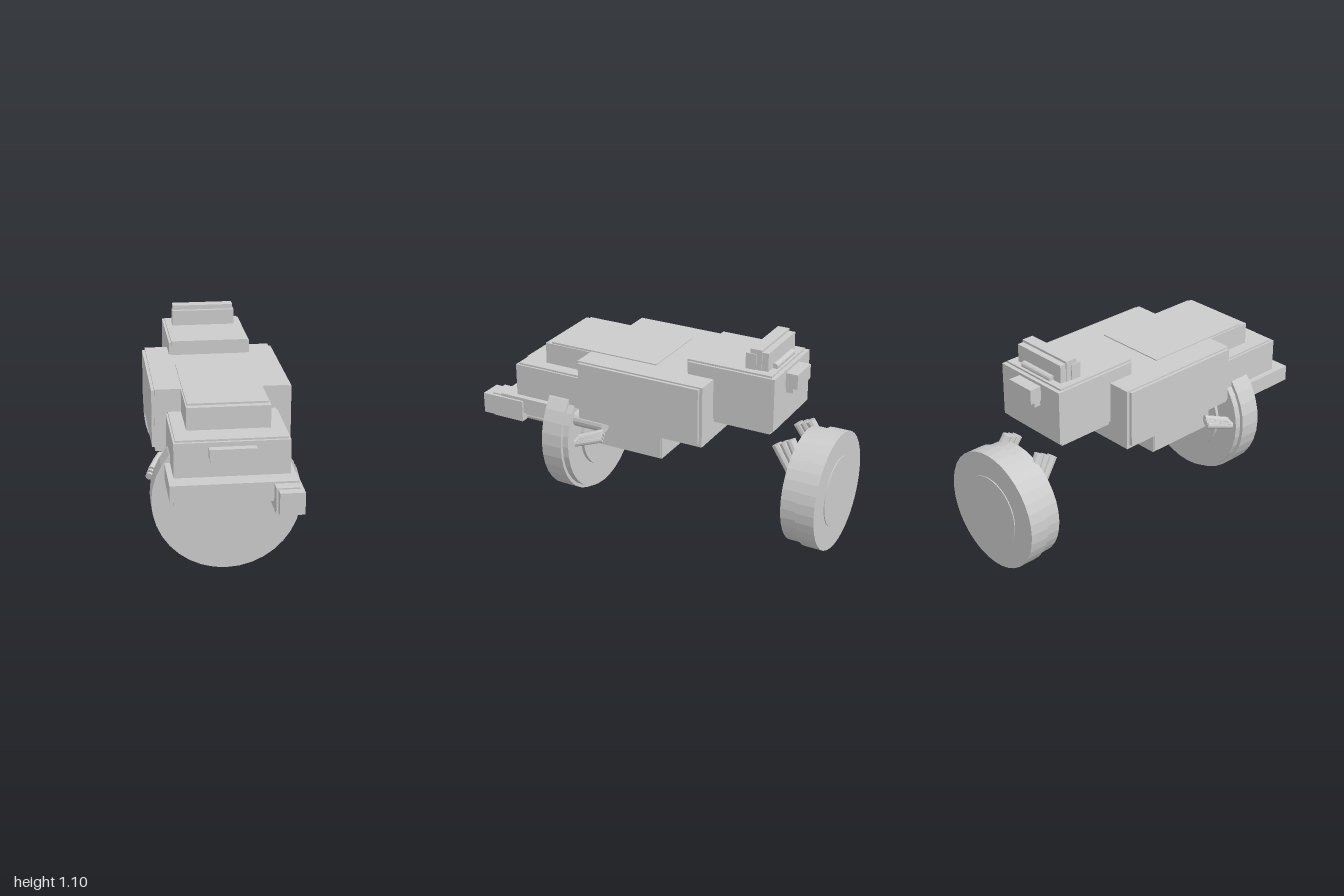
import * as THREE from 'three';

export function createModel() {
  const model = new THREE.Group();
  const mat = new THREE.MeshStandardMaterial({ color: 0xcccccc, flatShading: true });

  const add = (name, geometry, parent = model) => {
    const mesh = new THREE.Mesh(geometry, mat);
    mesh.name = name;
    parent.add(mesh);
    return mesh;
  };

  // Box given by its limits on each axis
  const box = (name, x0, x1, y0, y1, z0, z1) =>
    add(name, new THREE.BoxGeometry(x1 - x0, y1 - y0, z1 - z0))
      .position.set((x0 + x1) / 2, (y0 + y1) / 2, (z0 + z1) / 2);

  // Box symmetric about x = 0
  const mid = (name, w, y0, y1, z0, z1) => box(name, -w, w, y0, y1, z0, z1);

  // Cylinder between two points
  const rod = (name, a, b, r, sides = 12) => {
    const p = new THREE.Vector3(...a), q = new THREE.Vector3(...b);
    const d = q.clone().sub(p);
    const mesh = add(name, new THREE.CylinderGeometry(r, r, d.length(), sides));
    mesh.position.copy(p).add(q).multiplyScalar(0.5);
    mesh.quaternion.setFromUnitVectors(new THREE.Vector3(0, 1, 0), d.normalize());
  };

  // Wheel as a stack of discs along z: [radius, back, front]
  const wheel = (name, y, discs) => {
    const group = new THREE.Group();
    group.name = name;
    group.position.y = y;
    for (const [part, r, z0, z1] of discs) {
      const disc = add(part, new THREE.CylinderGeometry(r, r, z1 - z0, 36), group);
      disc.rotation.x = Math.PI / 2;
      disc.position.z = (z0 + z1) / 2;
    }
    model.add(group);
  };

  // Main body: core with wider side panels
  mid('bodyCore', 0.347, 0.577, 0.912, -0.372, 0.365);
  mid('bodySidePanels', 0.363, 0.597, 0.904, -0.355, 0.355);
  mid('bellyBox', 0.23, 0.385, 0.58, -0.075, 0.35);
  mid('bellyBoxTrim', 0.237, 0.395, 0.58, -0.07, 0.343);

  // Hood and nose
  mid('hood', 0.205, 0.78, 0.918, -0.03, 0.615);
  mid('hoodStep', 0.212, 0.78, 0.908, 0.1, 0.65);
  mid('nose', 0.29, 0.6, 0.78, 0.3, 0.8);
  mid('noseTop', 0.28, 0.6, 0.79, 0.3, 0.785);
  mid('noseBadge', 0.118, 0.702, 0.756, 0.79, 0.84);
  mid('noseBadgeLower', 0.109, 0.678, 0.71, 0.79, 0.825);
  mid('bumper', 0.318, 0.51, 0.597, 0.51, 0.89);
  mid('bumperLower', 0.297, 0.492, 0.59, 0.51, 0.88);

  // Rear cabin and its fittings
  mid('rearCabin', 0.222, 0.69, 0.98, -0.712, -0.225);
  mid('rearCabinCore', 0.209, 0.667, 0.99, -0.69, -0.215);
  mid('roofFinFront', 0.175, 0.98, 1.075, -0.585, -0.528);
  mid('roofFin', 0.17, 0.98, 1.1, -0.615, -0.55);
  mid('roofFinBack', 0.165, 0.98, 1.088, -0.65, -0.585);
  rod('roofBar', [-0.11, 1.0, -0.66], [0.11, 1.0, -0.66], 0.018);
  mid('tailBox', 0.083, 0.885, 0.965, -0.778, -0.7);
  mid('tailBoxLower', 0.075, 0.855, 0.89, -0.75, -0.7);

  // Side device with its barrel, on the left only
  box('sideBox', 0.205, 0.33, 0.465, 0.58, 0.745, 1.0);
  box('sideBoxCore', 0.195, 0.312, 0.45, 0.587, 0.76, 0.95);
  rod('sideBarrel', [0.265, 0.53, 0.25], [0.265, 0.53, 0.75], 0.045, 16);
  rod('sideBarrelLower', [0.265, 0.475, 0.55], [0.265, 0.475, 0.75], 0.02);

  // Pipe clusters, mirrored
  for (const s of [1, -1]) {
    for (let i = 0; i < 3; i++) {
      rod('sidePipe',
        [s * (0.382 - i * 0.007), 0.44 + i * 0.015, 0.375 - i * 0.01],
        [s * (0.33 - i * 0.01), 0.475 + i * 0.015, 0.235], 0.02, 10);
      rod('rearPipe',
        [s * (0.14 - i * 0.006), 0.585 + i * 0.018, -0.70 - i * 0.036],
        [s * (0.15 - i * 0.004), 0.43 + i * 0.04, -0.805 - i * 0.015], 0.027, 10);
    }
  }

  // Wheels, both facing along z
  wheel('frontWheel', 0.387, [
    ['tire', 0.387, 0.465, 0.587], ['tireStep', 0.368, 0.43, 0.47],
    ['hubFront', 0.233, 0.5, 0.594], ['hubBack', 0.235, 0.412, 0.5]]);
  wheel('rearWheel', 0.318, [
    ['tire', 0.322, -0.995, -0.893], ['tireStep', 0.309, -0.9, -0.805],
    ['hubBack', 0.19, -1.0, -0.9], ['hubFront', 0.19, -0.9, -0.797]]);

  return model;
}
